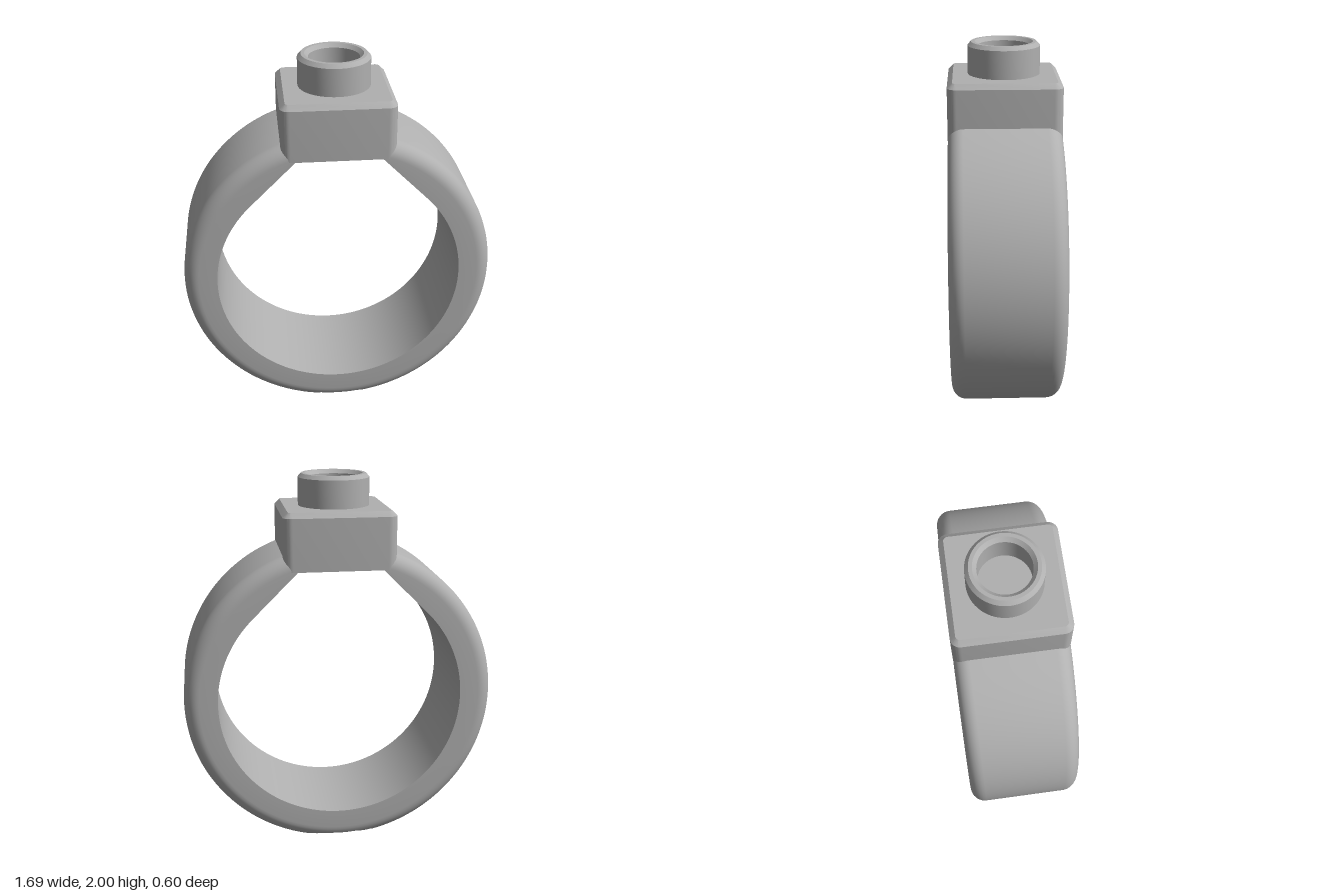
import * as THREE from 'three';
import { toCreasedNormals } from 'three/addons/utils/BufferGeometryUtils.js';

const CENTER_Y = 0.81, OUTER = 0.845, INNER = 0.665, HALF = 0.3, FILLET = 0.08;
const CREASE = 0.24;

// Skin a series of closed loops of points; wrap joins the last loop to the first.
function loft(loops, wrap) {
  const pos = [];
  const tri = (a, b, c) => {
    const n = b.clone().sub(a).cross(c.clone().sub(a));
    if (n.length() > 1e-10) for (const p of [a, b, c]) pos.push(p.x, p.y, p.z);
  };
  const count = loops.length, m = loops[0].length;
  for (let i = 0; i < (wrap ? count : count - 1); i++) {
    const lo = loops[i], hi = loops[(i + 1) % count];
    for (let j = 0; j < m; j++) {
      const k = (j + 1) % m;
      tri(lo[j], hi[j], hi[k]);
      tri(lo[j], hi[k], lo[k]);
    }
  }
  const geo = new THREE.BufferGeometry();
  geo.setAttribute('position', new THREE.Float32BufferAttribute(pos, 3));
  return toCreasedNormals(geo, CREASE);
}

// Round bore that runs out along 45 degree tangents to the underside of the head
function boreRadius(t) {
  const a = Math.abs(t - Math.PI / 2);
  if (a >= Math.PI / 4) return INNER;
  return Math.min(INNER / Math.cos(Math.PI / 4 - a), 0.73 / Math.cos(a));
}

// Band: filleted outer corners, flattened where it stands
function bandGeometry() {
  const loops = [], steps = 192, arc = 8;
  for (let i = 0; i < steps; i++) {
    const t = (i / steps) * Math.PI * 2;
    const section = [[boreRadius(t), -HALF]];
    for (const side of [-1, 1]) {
      for (let j = 0; j <= arc; j++) {
        const a = ((side < 0 ? j : arc - j) / arc) * Math.PI / 2;
        section.push([
          OUTER - FILLET + FILLET * Math.sin(a),
          side * (HALF - FILLET + FILLET * Math.cos(a)),
        ]);
      }
    }
    section.push([boreRadius(t), HALF]);
    loops.push(section.map(([r, z]) => new THREE.Vector3(
      r * Math.cos(t), Math.max(0, CENTER_Y + r * Math.sin(t)), z)));
  }
  return loft(loops, true);
}

// Horizontal rounded square
function roundedSquare(half, radius, y) {
  const pts = [], arc = 8;
  for (let q = 0; q < 4; q++) {
    const mid = (q + 0.5) * Math.PI / 2;
    const cx = Math.sign(Math.cos(mid)) * (half - radius);
    const cz = Math.sign(Math.sin(mid)) * (half - radius);
    for (let j = 0; j <= arc; j++) {
      const a = (q + j / arc) * Math.PI / 2;
      pts.push(new THREE.Vector3(cx + radius * Math.cos(a), y, cz + radius * Math.sin(a)));
    }
  }
  return pts;
}

export function createModel() {
  const metal = new THREE.MeshStandardMaterial({ color: 0xb0b0b0 });
  metal.name = 'grey metal';
  const group = new THREE.Group();
  group.name = 'ring';
  const add = (name, geo) => {
    const mesh = new THREE.Mesh(geo, metal);
    mesh.name = name;
    group.add(mesh);
  };

  add('band', bandGeometry());

  // Square head with a chamfered top edge
  add('head', loft([
    roundedSquare(0, 0, 1.523),
    roundedSquare(0.301, 0.05, 1.523),
    roundedSquare(0.301, 0.05, 1.803),
    roundedSquare(0.273, 0.022, 1.83),
    roundedSquare(0, 0, 1.83),
  ], false));

  // Hollow stud with chamfered rims and a floor level with the head
  const profile = [
    [0.193, 1.82], [0.193, 1.98], [0.174, 2], [0.155, 2],
    [0.135, 1.98], [0.135, 1.832], [0, 1.832],
  ].map(([x, y]) => new THREE.Vector2(x, y));
  add('stud', toCreasedNormals(new THREE.LatheGeometry(profile, 64), CREASE));

  return group;
}
